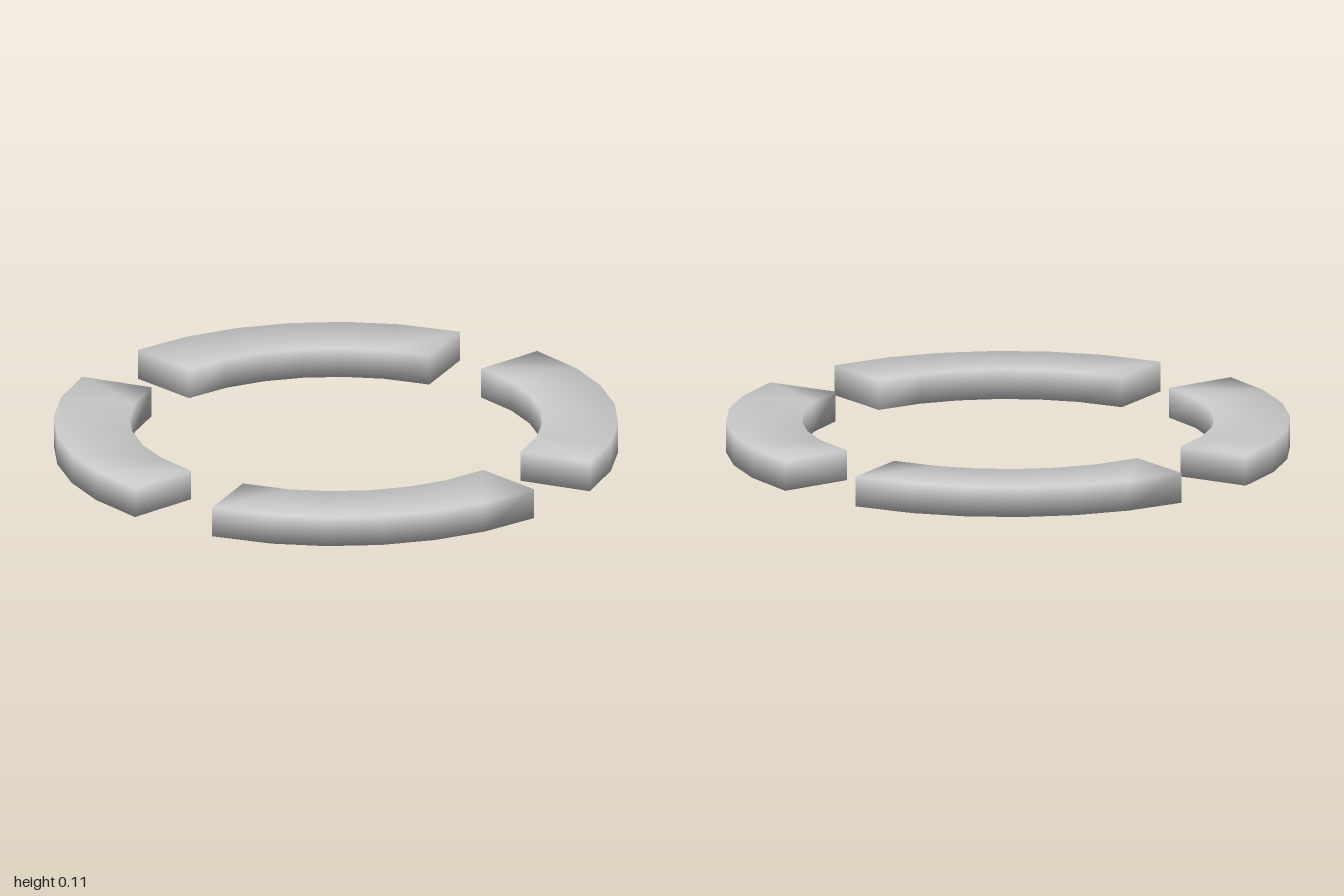
import * as THREE from 'three';

const HEIGHT = 0.11;
const OUTER_R = 1.013, INNER_R = 0.741;
// Station angles in degrees; the ends are cut slightly askew to the radius
const OUTER_ANGLES = [9.7, 22.5, 33.75, 45, 56.25, 67.5, 80.3];
const INNER_ANGLES = [8.9, 22.4, 33.75, 45, 56.25, 67.6, 81.1];

// Sweeps a rectangular section along a quarter arc, sharing corners for soft shading
function arcGeometry() {
  const pos = [], idx = [];
  const add = (r, deg, y) => {
    const t = THREE.MathUtils.degToRad(deg);
    pos.push(r * Math.sin(t), y, r * Math.cos(t));
  };
  const quad = (a, b, c, d) => idx.push(a, b, c, a, c, d);

  OUTER_ANGLES.forEach((outer, i) => {
    add(OUTER_R, outer, 0);
    add(OUTER_R, outer, HEIGHT);
    add(INNER_R, INNER_ANGLES[i], HEIGHT);
    add(INNER_R, INNER_ANGLES[i], 0);
  });

  const last = (OUTER_ANGLES.length - 1) * 4;
  for (let s = 0; s < last; s += 4) {
    for (let k = 0; k < 4; k++) {
      const n = (k + 1) % 4;
      quad(s + k, s + 4 + k, s + 4 + n, s + n);
    }
  }
  // End caps
  quad(0, 1, 2, 3);
  quad(last + 3, last + 2, last + 1, last);

  const geometry = new THREE.BufferGeometry();
  geometry.setAttribute('position', new THREE.Float32BufferAttribute(pos, 3));
  geometry.setIndex(idx);
  geometry.computeVertexNormals();
  return geometry;
}

export function createModel() {
  const model = new THREE.Group();
  model.name = 'segmentedRing';
  const material = new THREE.MeshStandardMaterial({ color: 0xcccccc });
  const geometry = arcGeometry();

  // Four matching arcs, a quarter turn apart
  ['frontLeftArc', 'backLeftArc', 'backRightArc', 'frontRightArc'].forEach((name, i) => {
    const arc = new THREE.Mesh(geometry, material);
    arc.name = name;
    arc.rotation.y = i * Math.PI / 2;
    model.add(arc);
  });
  return model;
}
